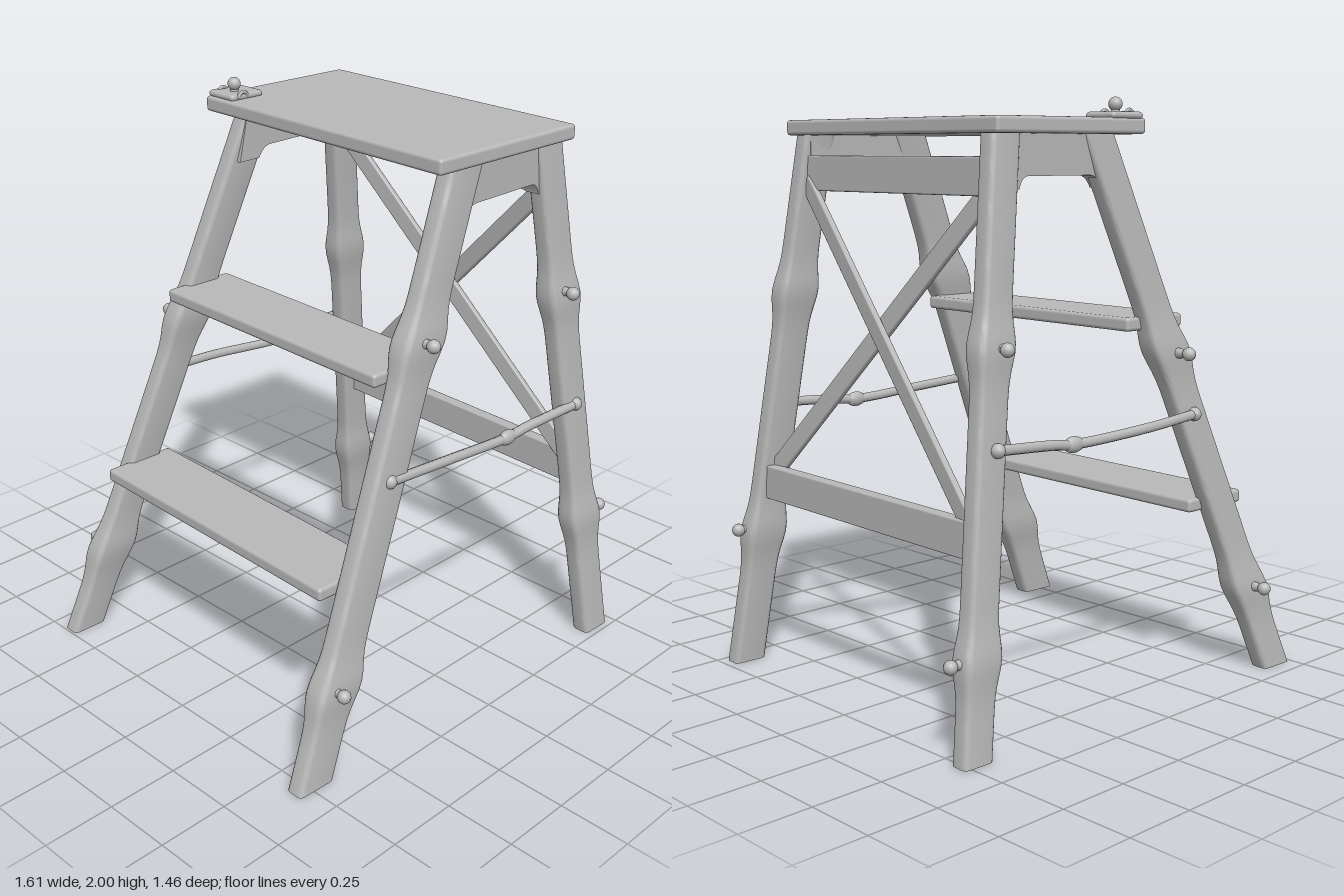
import * as THREE from 'three';
import { toCreasedNormals } from 'three/addons/utils/BufferGeometryUtils.js';
import { RoundedBoxGeometry } from 'three/addons/geometries/RoundedBoxGeometry.js';

const V = (x, y, z) => new THREE.Vector3(x, y, z);
const YAW = -0.04; // slight twist of the whole ladder

export function createModel() {
  const group = new THREE.Group();
  const wood = new THREE.MeshStandardMaterial({ color: 0xb8b8b8 });
  wood.name = 'greyWood';

  const add = (name, geometry, position = V(0, 0, 0)) => {
    const mesh = new THREE.Mesh(geometry, wood);
    mesh.name = name;
    mesh.position.copy(position);
    group.add(mesh);
    return mesh;
  };

  // Horizontal plank with softened edges
  const plank = (name, x, y, z, w, h, d) => {
    add(name, new RoundedBoxGeometry(w, h, d, 2, 0.012), V(x, y, z)).rotation.y = YAW;
  };

  // Board running between two points, its broad face turned sideways
  const board = (name, a, b, width, thick) => {
    const mesh = add(name, new RoundedBoxGeometry(thick, width, a.distanceTo(b), 1, 0.006),
      a.clone().lerp(b, 0.5));
    mesh.lookAt(b);
  };

  // Leaning leg: rounded section swept upward, swelling around each knot
  const leg = (name, bottom, top, width, thick, knots) => {
    const w = width / 2, d = thick / 2, r = 0.018;
    const s = new THREE.Shape();
    s.moveTo(-w + r, -d);
    s.lineTo(w - r, -d).quadraticCurveTo(w, -d, w, -d + r);
    s.lineTo(w, d - r).quadraticCurveTo(w, d, w - r, d);
    s.lineTo(-w + r, d).quadraticCurveTo(-w, d, -w, d - r);
    s.lineTo(-w, -d + r).quadraticCurveTo(-w, -d, -w + r, -d);
    const g = new THREE.ExtrudeGeometry(s, { depth: 1, steps: 60, bevelEnabled: false, curveSegments: 3 });
    const p = g.attributes.position, v = V(0, 0, 0), up = V(0, 1, 0);
    for (let i = 0; i < p.count; i++) {
      const t = p.getZ(i), y = t * top.y;
      let swell = 0;
      for (const k of knots) swell += Math.exp(-(((y - k) / 0.075) ** 2));
      v.set(p.getX(i) * (1 + 0.27 * swell), 0, -p.getY(i) * (1 + 0.3 * swell));
      v.applyAxisAngle(up, YAW).add(bottom.clone().lerp(top, t));
      p.setXYZ(i, v.x, v.y, v.z);
    }
    g.computeVertexNormals();
    add(name, toCreasedNormals(g, 0.7));
  };

  // Top plank
  plank('topPlank', 0.205, 1.905, 0.03, 0.635, 0.052, 1.12);

  // Legs: step side on -x, braced side on +x
  const ends = {
    frontStepLeg: [V(-0.735, 0, 0.617), V(0.02, 1.88, 0.525), 0.145, [0.31, 1.36]],
    backStepLeg: [V(-0.675, 0, -0.655), V(0.055, 1.88, -0.445), 0.135, [0.31, 1.17]],
    frontBraceLeg: [V(0.66, 0, 0.695), V(0.425, 1.88, 0.53), 0.122, [0.48, 1.34]],
    backBraceLeg: [V(0.718, 0, -0.588), V(0.46, 1.88, -0.44), 0.115, [0.31, 1.24]],
  };
  for (const [name, [a, b, width, knots]] of Object.entries(ends)) leg(name, a, b, width, 0.068, knots);
  const on = (name, y, dx = 0, dz = 0) => {
    const [a, b] = ends[name];
    return a.clone().lerp(b, y / 1.88).add(V(dx, 0, dz));
  };

  // Aprons joining the leg tops, with a sloped lower opening
  for (const [name, z, x] of [['frontApron', 0.527, 0], ['backApron', -0.443, 0.03]]) {
    const s = new THREE.Shape();
    s.moveTo(-0.04 + x, 1.885);
    s.lineTo(-0.08 + x, 1.71).lineTo(0.01 + x, 1.71);
    s.quadraticCurveTo(0.03 + x, 1.75, 0.07 + x, 1.75);
    s.lineTo(0.34 + x, 1.75).quadraticCurveTo(0.37 + x, 1.75, 0.38 + x, 1.71);
    s.lineTo(0.47 + x, 1.71).lineTo(0.47 + x, 1.885);
    const g = new THREE.ExtrudeGeometry(s, { depth: 0.056, bevelEnabled: false });
    add(name, g, V(0, 0, z - 0.028));
  }

  // Two treads
  plank('lowerStep', -0.465, 0.622, -0.01, 0.27, 0.046, 1.13);
  plank('upperStep', -0.205, 1.262, 0.01, 0.265, 0.046, 1.04);

  // Rails and crossed braces on the braced side
  const rail = (name, yFront, yBack, width, thick, dx) =>
    board(name, on('frontBraceLeg', yFront, dx, -0.02), on('backBraceLeg', yBack, dx, 0.02), width, thick);
  rail('upperRail', 1.75, 1.75, 0.12, 0.045, 0.015);
  rail('lowerRail', 0.663, 0.663, 0.12, 0.045, 0.015);
  rail('fallingBrace', 1.72, 0.69, 0.066, 0.022, 0.025);
  rail('risingBrace', 0.69, 1.72, 0.066, 0.022, 0.002);

  // Sagging folding stays with a joint and end pins
  const stay = (name, pts) => {
    const path = new THREE.CatmullRomCurve3(pts, false, 'centripetal');
    add(name, new THREE.TubeGeometry(path, 32, 0.017, 8));
    for (const q of [pts[0], pts[pts.length - 1]]) {
      add(name + 'End', new THREE.SphereGeometry(0.024, 12, 8), q);
    }
    add(name + 'Joint', new THREE.SphereGeometry(0.03, 12, 8), pts[2]).scale.set(1.4, 0.9, 0.7);
  };
  stay('frontStay', [V(-0.36, 0.948, 0.598), V(-0.1, 0.932, 0.607), V(0.2, 0.915, 0.617),
    V(0.3, 0.925, 0.625), V(0.54, 0.937, 0.645)]);
  stay('backStay', [V(-0.3, 0.948, -0.59), V(-0.05, 0.932, -0.595), V(0.26, 0.915, -0.562),
    V(0.36, 0.925, -0.562), V(0.58, 0.937, -0.555)]);

  // Round knobs on short stems: position, then stem direction
  const knob = (tip, dir) => {
    const n = dir.normalize();
    const stem = add('knobStem', new THREE.CylinderGeometry(0.012, 0.02, 0.06, 10),
      tip.clone().addScaledVector(n, -0.03));
    stem.quaternion.setFromUnitVectors(V(0, 1, 0), n);
    add('knob', new THREE.SphereGeometry(0.023, 14, 10), tip);
  };
  knob(V(-0.2, 1.365, 0.625), V(0, 0, 1));
  knob(V(0.475, 1.365, 0.65), V(0, 0, 1));
  knob(V(-0.635, 0.315, 0.67), V(0, 0, 1));
  knob(V(0.695, 0.49, 0.67), V(1, 0, 0.2));
  knob(V(0.78, 0.31, -0.56), V(1, 0, 0));
  knob(V(-0.56, 0.31, -0.705), V(0, 0, -1));
  knob(V(-0.235, 1.16, -0.615), V(0, 0, -1));
  knob(V(0.55, 1.24, -0.565), V(0.3, 0, -1));
  knob(V(-0.025, 1.975, -0.465), V(0, 1, 0));

  // Latch plate and hooks on the top plank
  plank('latchPlate', -0.01, 1.938, -0.475, 0.14, 0.024, 0.13);
  for (const z of [-0.52, -0.415]) {
    add('latchHook', new THREE.TorusGeometry(0.02, 0.007, 6, 12, Math.PI), V(-0.03, 1.935, z));
  }
  return group;
}
